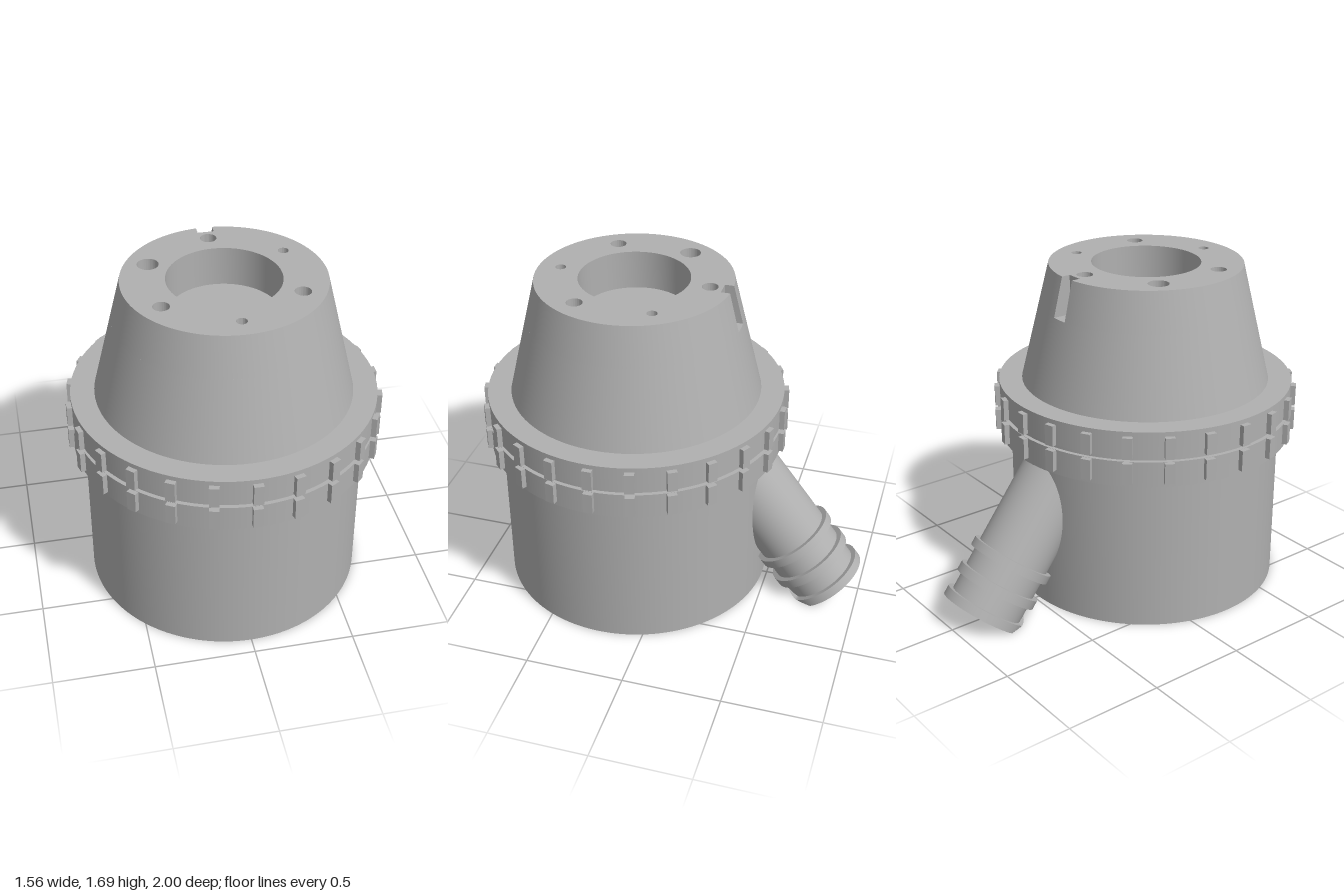
import * as THREE from 'three';
import { toCreasedNormals } from 'three/addons/utils/BufferGeometryUtils.js';

const AXIS_Z = 0.222; // centre line of the round housing
const RING_BOTTOM = 0.8, RING_TOP = 1.084, TOP = 1.687, FLOOR = 1.487;
const CONE_BASE_R = 0.635, CONE_TOP_R = 0.489;

const coneRadius = (y) =>
  CONE_BASE_R + ((CONE_TOP_R - CONE_BASE_R) * (y - RING_TOP)) / (TOP - RING_TOP);

export function createModel() {
  const model = new THREE.Group();
  const grey = new THREE.MeshStandardMaterial({ color: 0xb0b0b0 });
  grey.name = 'grey';

  const housing = new THREE.Group();
  housing.name = 'housing';
  housing.position.z = AXIS_Z;
  model.add(housing);

  const add = (parent, name, geometry, y = 0) => {
    const mesh = new THREE.Mesh(geometry, grey);
    mesh.name = name;
    mesh.position.y = y;
    parent.add(mesh);
    return mesh;
  };
  // Extrudes a plan shape upwards (shape y becomes -z)
  const extrudeUp = (shape, height, curveSegments) =>
    new THREE.ExtrudeGeometry(shape, { depth: height, bevelEnabled: false, curveSegments }).rotateX(-Math.PI / 2);
  const cylinder = (name, rTop, rBottom, y0, y1) =>
    add(housing, name, new THREE.CylinderGeometry(rTop, rBottom, y1 - y0, 96), (y0 + y1) / 2);

  // Body with a rounded slot open at the bottom
  const bodyPlan = new THREE.Shape().absarc(0, 0, 0.697, 0, Math.PI * 2);
  const x0 = -0.36, x1 = 0.6, h = 0.21, c = 0.06;
  const slot = new THREE.Path();
  slot.absarc(x1 - c, h - c, c, 0, Math.PI / 2);
  slot.absarc(x0 + c, h - c, c, Math.PI / 2, Math.PI);
  slot.absarc(x0 + c, c - h, c, Math.PI, Math.PI * 1.5);
  slot.absarc(x1 - c, c - h, c, Math.PI * 1.5, Math.PI * 2);
  slot.closePath();
  bodyPlan.holes.push(slot);
  add(housing, 'body', toCreasedNormals(extrudeUp(bodyPlan, RING_BOTTOM, 96), 0.5));

  // Two clamp rings with a groove between them
  cylinder('lowerRing', 0.753, 0.753, RING_BOTTOM, 0.93);
  cylinder('ringGroove', 0.733, 0.733, 0.92, 0.966);
  cylinder('upperRing', 0.753, 0.753, 0.956, RING_TOP);

  // Grip ribs around both rings
  const ribs = new THREE.Group();
  ribs.name = 'gripRibs';
  housing.add(ribs);
  const ribGeometry = new THREE.BoxGeometry(0.048, 0.106, 0.06);
  for (let i = 0; i < 24; i++) {
    const a = (i / 24) * Math.PI * 2;
    for (const y of [0.876, 1.008]) {
      const rib = add(ribs, 'gripRib', ribGeometry, y);
      rib.position.x = Math.sin(a) * 0.748;
      rib.position.z = Math.cos(a) * 0.748;
      rib.rotation.y = a;
    }
  }

  // Lower cone; its top is the floor of the holes and the notch
  cylinder('lowerCone', coneRadius(FLOOR), CONE_BASE_R, RING_TOP, FLOOR);

  // Upper cone: notched disc with vertical holes, outer wall flared by height
  const notchW = 0.04, d = Math.asin(notchW / CONE_TOP_R), up = Math.PI / 2;
  const topPlan = new THREE.Shape();
  topPlan.absarc(0, 0, CONE_TOP_R, up + d, up - d + Math.PI * 2);
  topPlan.lineTo(notchW, 0.442);
  topPlan.lineTo(-notchW, 0.442);
  topPlan.closePath();
  const hole = (x, y, r) =>
    topPlan.holes.push(new THREE.Path().absarc(x, y, r, 0, Math.PI * 2));
  hole(0, 0, 0.275);
  [0.04, 0.026, 0.04, 0.026, 0.04, 0.052].forEach((r, i) => {
    const a = (i * Math.PI) / 3; // clockwise from the back
    hole(Math.sin(a) * 0.38, Math.cos(a) * 0.38, r);
  });
  const upper = extrudeUp(topPlan, TOP - FLOOR, 64);
  const p = upper.attributes.position;
  for (let i = 0; i < p.count; i++) {
    const r = Math.hypot(p.getX(i), p.getZ(i));
    if (r < CONE_TOP_R - 0.005) continue;
    const k = coneRadius(FLOOR + p.getY(i)) / r;
    p.setX(i, p.getX(i) * k);
    p.setZ(i, p.getZ(i) * k);
  }
  add(housing, 'upperCone', toCreasedNormals(upper, 0.5), FLOOR);

  // Slanted outlet pipe with three collars, cut flat at the base plane
  const R = 0.216, r = 0.19;
  const corners = [
    [0, -0.188], [R, -0.188], [R, -0.14], [r, -0.14], [r, -0.049], [R, -0.049],
    [R, 0], [r, 0], [r, 0.095], [R, 0.095], [R, 0.141], [r, 0.141], [r, 0.7], [0, 0.7],
  ].map(([x, y]) => new THREE.Vector2(x, y));
  const profile = [corners[0]];
  for (let i = 1; i < corners.length; i++) {
    const a = corners[i - 1], b = corners[i];
    const n = b.y > 0.2 ? 1 : Math.ceil(a.distanceTo(b) / 0.01);
    for (let j = 1; j <= n; j++) profile.push(a.clone().lerp(b, j / n));
  }
  const pipe = new THREE.LatheGeometry(profile, 72);
  pipe.rotateX(0.653).translate(0, 0.182, -0.71);
  const q = pipe.attributes.position;
  for (let i = 0; i < q.count; i++) q.setY(i, Math.max(q.getY(i), 0));
  add(model, 'outletPipe', toCreasedNormals(pipe, 0.5));

  return model;
}
